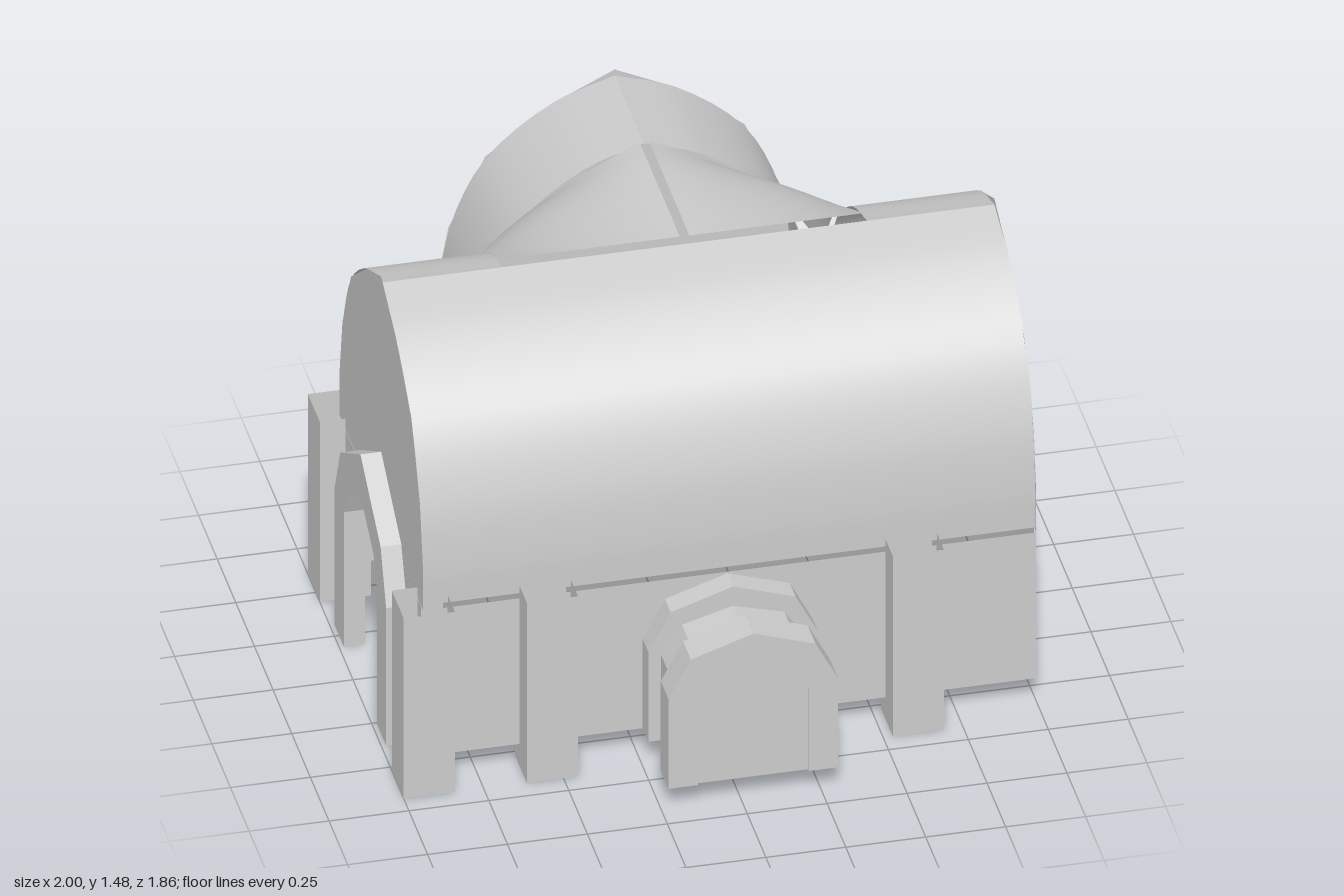
import * as THREE from 'three';

const material = new THREE.MeshStandardMaterial({ color: 0xcccccc, side: THREE.DoubleSide });
const V = (x, y) => new THREE.Vector2(x, y);

function add(parent, name, geometry, x = 0, y = 0, z = 0) {
  const mesh = new THREE.Mesh(geometry, material);
  mesh.name = name;
  mesh.position.set(x, y, z);
  parent.add(mesh);
  return mesh;
}

// Mirrors a half outline (given from the outer foot to the apex at x = 0)
const arch = half => [
  ...half.map(([x, y]) => V(-x, y)),
  ...half.slice(0, -1).reverse().map(([x, y]) => V(x, y)),
];

// Band between an outer and an inner arch, both open at the foot
const archBand = (outer, inner) => new THREE.Shape([...arch(outer), ...arch(inner).reverse()]);

const extrude = (shape, depth) => new THREE.ExtrudeGeometry(shape, { depth, bevelEnabled: false });

const capOuter = [[0.56, 0.62], [0.56, 0.77], [0.52, 0.98], [0.405, 1.22], [0.19, 1.385], [0, 1.477]];
const capInner = [[0.27, 0.62], [0.235, 0.625], [0, 0.775]];
const roofCurve = new THREE.CatmullRomCurve3(
  [[0, 1.455], [0.19, 1.385], [0.405, 1.21], [0.515, 0.98], [0.548, 0.77], [0.55, 0.63]]
    .map(([x, y]) => new THREE.Vector3(x, y, 0)));

// One curved roof slope along z, on the given side of the ridge
function roofSlope(parent, side, z0, z1) {
  const geometry = new THREE.PlaneGeometry(1, 1, 20, 1);
  const pos = geometry.attributes.position;
  for (let i = 0; i < pos.count; i++) {
    const p = roofCurve.getPoint(pos.getX(i) + 0.5);
    pos.setXYZ(i, side * p.x, p.y, pos.getY(i) > 0 ? z0 : z1);
  }
  geometry.computeVertexNormals();
  add(parent, 'roofSlope', geometry);
}

// Gable sheet with the two wall panels beside the doorway
function gableEnd(parent, z) {
  add(parent, 'gable', new THREE.ShapeGeometry(archBand(capOuter, capInner)), 0, 0, z);
  for (const s of [-1, 1])
    add(parent, 'endWall', new THREE.PlaneGeometry(0.265, 0.53), s * 0.4, 0.35, z);
}

// Thin side wall running along z
function sideWall(parent, x, z0, z1) {
  const wall = add(parent, 'sideWall', new THREE.PlaneGeometry(z1 - z0, 0.53), x, 0.345, (z0 + z1) / 2);
  wall.rotation.y = Math.PI / 2;
}

// Warped panel joining the main ridge to the wing ridge
function valleyPanel(parent, side) {
  const geometry = new THREE.PlaneGeometry(1, 1, 12, 12);
  const pos = geometry.attributes.position;
  const fall = t => 0.6 * t + 0.4 * t ** 5;
  for (let i = 0; i < pos.count; i++) {
    const u = pos.getX(i) + 0.5, v = pos.getY(i) + 0.5;
    pos.setXYZ(i, 0.035 + side * (0.015 + 0.545 * u), 1.467 - 0.487 * fall(u) * fall(v), 0.01 - 0.545 * v);
  }
  geometry.computeVertexNormals();
  add(parent, 'valleyPanel', geometry);
}

// Hollow square post, open at both ends
function post(parent, x, z) {
  const geometry = new THREE.CylinderGeometry(0.08 * Math.SQRT2, 0.08 * Math.SQRT2, 0.655, 4, 1, true)
    .toNonIndexed().rotateY(Math.PI / 4);
  geometry.computeVertexNormals();
  add(parent, 'post', geometry, x, 0.3275, z);
}

export function createModel() {
  const model = new THREE.Group();
  model.name = 'hall';

  // Main hall: its local z runs along the model's x
  const hall = new THREE.Group();
  hall.name = 'mainHall';
  hall.rotation.y = Math.PI / 2;
  hall.position.z = 0.035;
  model.add(hall);
  roofSlope(hall, -1, -0.92, 1);
  roofSlope(hall, 1, -0.92, -0.54);
  roofSlope(hall, 1, 0.6, 1);
  gableEnd(hall, -0.92);
  gableEnd(hall, 0.998);
  sideWall(hall, 0.55, -0.92, -0.52);
  sideWall(hall, 0.55, 0.59, 1);

  // Arched frame around the end doorway
  add(hall, 'endDoorFrame', extrude(archBand(
    [[0.345, 0], [0.345, 0.5], [0.27, 0.675], [0, 0.84]],
    [[0.22, 0], [0.22, 0.49], [0.175, 0.59], [0, 0.69]]), 0.065), 0, 0, -0.985);

  // Rear wing
  const wing = new THREE.Group();
  wing.name = 'rearWing';
  wing.position.x = 0.035;
  model.add(wing);
  for (const s of [-1, 1]) {
    roofSlope(wing, s, -0.93, -0.54);
    sideWall(wing, s * 0.55, -0.93, -0.53);
    valleyPanel(model, s);
  }
  gableEnd(wing, -0.928);

  // Front porch
  const porch = new THREE.Group();
  porch.name = 'frontPorch';
  porch.position.x = 0.035;
  model.add(porch);
  const frameOuter = [[0.265, 0.08], [0.265, 0.405], [0.195, 0.54], [0, 0.605]];
  const doorway = [[0.173, 0.08], [0.173, 0.385], [0.11, 0.465], [0, 0.503]];
  const tunnel = [[0.225, 0.08], [0.225, 0.39], [0.16, 0.49], [0, 0.535]];
  add(porch, 'porchFrame', extrude(archBand(frameOuter, doorway), 0.105), 0, 0, 0.825);
  add(porch, 'porchRearFrame', extrude(archBand(frameOuter, doorway), 0.08), 0, 0, 0.58);
  add(porch, 'porchTunnel', extrude(archBand(tunnel, doorway), 0.165), 0, 0, 0.66);
  add(porch, 'porchDoor', new THREE.ShapeGeometry(new THREE.Shape(arch(doorway))), 0, 0, 0.92);

  // Front wall, cut out where the porch passes through
  const wall = new THREE.Shape([
    V(-0.92, 0.08), ...arch(doorway).map(p => V(p.x + 0.035, p.y)),
    V(1, 0.08), V(1, 0.61), V(-0.92, 0.61)]);
  add(model, 'frontWall', new THREE.ShapeGeometry(wall), 0, 0, 0.583);

  // Posts along the front and back
  for (const x of [-0.92, -0.535, 0.61]) post(model, x, 0.6);
  for (const x of [-0.92, -0.495, 0.57]) post(model, x, -0.525);

  return model;
}
